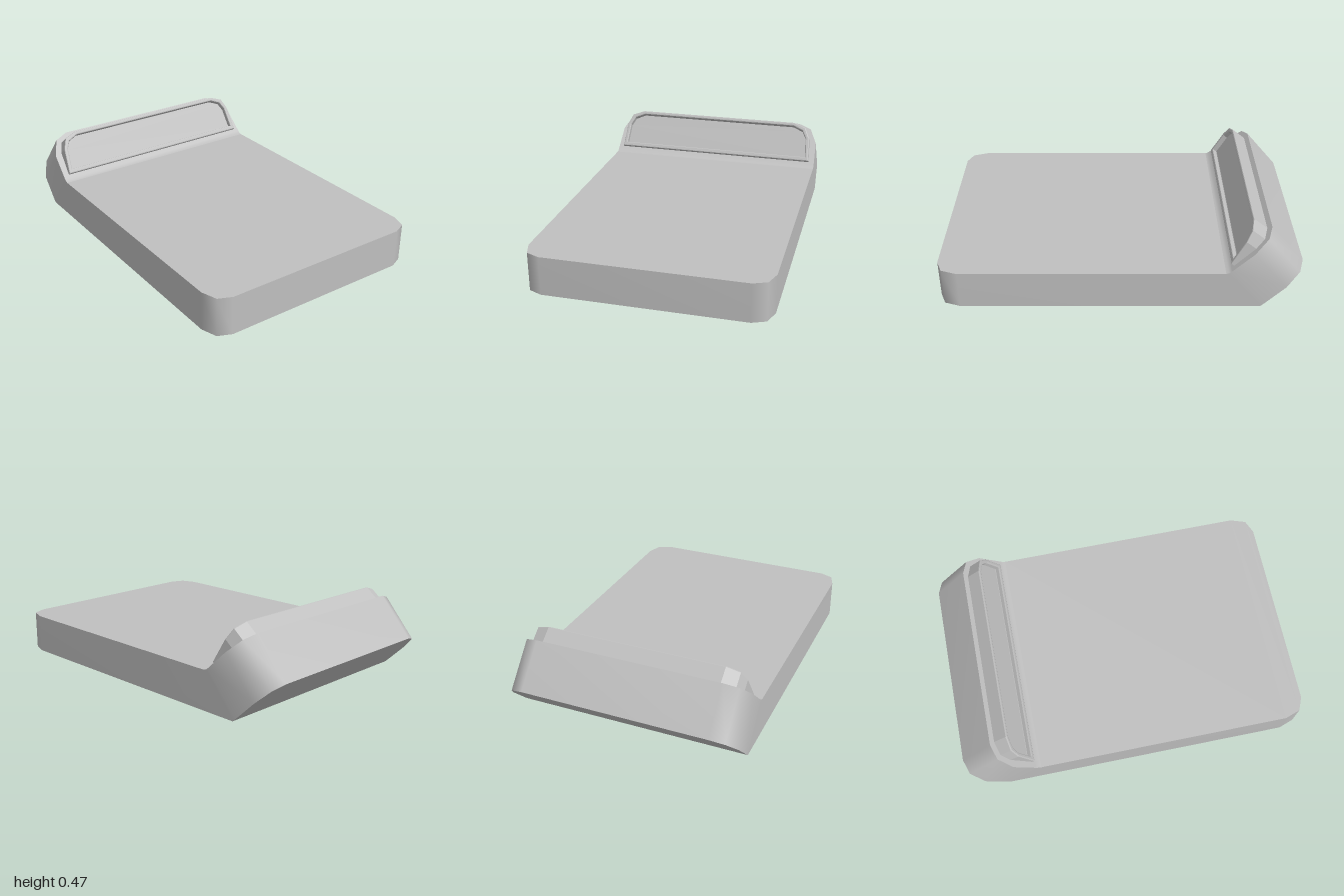
import * as THREE from 'three';

const grey = new THREE.MeshStandardMaterial({ color: 0xbfbfbf });
grey.name = 'plain grey';

// Indexed surface with area-weighted normals: broad faces stay flat, corners shade smoothly
function surface(points, faces) {
  const g = new THREE.BufferGeometry();
  g.setAttribute('position', new THREE.Float32BufferAttribute(points.flat(), 3));
  g.setIndex(faces.flat());
  g.computeVertexNormals();
  return g;
}

function addPart(parent, name, geometry) {
  const mesh = new THREE.Mesh(geometry, grey);
  mesh.name = name;
  parent.add(mesh);
  return mesh;
}

// Rows across the body, front to back: half width, top (z, y), bottom (z, y)
function bodyRows() {
  const rows = [[0.555, 1, 0.22, 1, 0], [0.63, 0.968, 0.22, 0.968, 0], [0.66, 0.88, 0.22, 0.88, 0],
    [0.66, -0.567, 0.22, -0.768, 0], [0.66, -0.583, 0.224, -0.77, 0.001]];
  for (const [x, t] of [[0.66, 0.07], [0.655, 0.57], [0.61, 0.89], [0.53, 1]]) {
    rows.push([x, -0.58 - 0.233 * t, 0.22 + 0.216 * t, -0.77 - 0.23 * t, 0.22 * t]);
  }
  return rows;
}

function createBody() {
  const body = new THREE.Group();
  body.name = 'bentBody';
  const rows = bodyRows();
  const n = rows.length;

  // Top and underside, split at the bend so that both planes stay flat
  const strip = (part, k, up) => {
    const pts = part.flatMap((r) => [[-r[0], r[k + 1], r[k]], [r[0], r[k + 1], r[k]]]);
    const faces = [];
    for (let i = 0; i < part.length - 1; i++) {
      const a = 2 * i, b = a + 1, c = a + 2, d = a + 3;
      faces.push(up ? [a, b, d, a, d, c] : [a, d, b, a, c, d]);
    }
    return surface(pts, faces);
  };
  addPart(body, 'bedTop', strip(rows.slice(0, 4), 1, true));
  addPart(body, 'bendFillet', strip(rows.slice(3, 6), 1, true));
  addPart(body, 'tiltedTop', strip(rows.slice(5), 1, true));
  addPart(body, 'bedUnderside', strip(rows.slice(0, 4), 3, false));
  addPart(body, 'tiltedUnderside', strip(rows.slice(3), 3, false));

  // Wall around the whole outline
  const ring = [...rows.map((r) => [r[0], ...r.slice(1)]),
    ...[...rows].reverse().map((r) => [-r[0], ...r.slice(1)])];
  const pts = ring.flatMap((r) => [[r[0], r[2], r[1]], [r[0], r[4], r[3]]]);
  const faces = [];
  for (let i = 0; i < 2 * n; i++) {
    const a = 2 * i, b = 2 * ((i + 1) % (2 * n));
    faces.push([a, a + 1, b + 1, a, b + 1, b]);
  }
  addPart(body, 'outerWall', surface(pts, faces));
  return body;
}

// Symmetric outline from right-hand points, bottom to top
function outline(points, Type = THREE.Shape) {
  const left = [...points].reverse().map(([x, y]) => [-x, y]);
  return new Type([...points, ...left].map(([x, y]) => new THREE.Vector2(x, y)));
}

function createPanel() {
  const panel = new THREE.Group();
  panel.name = 'uprightPanel';
  const recess = [[0.6, 0.026], [0.59, 0.15], [0.566, 0.196], [0.505, 0.223]];
  const rim = outline([[0.625, 0], [0.613, 0.152], [0.585, 0.216], [0.51, 0.2445]]);
  rim.holes.push(outline(recess, THREE.Path));

  // Panel axes: across, up the leaning face, and out of the body
  const place = new THREE.Matrix4().makeBasis(
    new THREE.Vector3(1, 0, 0),
    new THREE.Vector3(0, 0.213, -0.12).normalize(),
    new THREE.Vector3(0, 0.08, 0.1).normalize(),
  ).setPosition(0, 0.262, -0.595);

  const depth = 0.128, bevel = 0.006;
  const rimGeometry = new THREE.ExtrudeGeometry(rim, {
    depth: depth - 2 * bevel, bevelThickness: bevel, bevelSize: bevel, bevelOffset: -bevel, bevelSegments: 2,
  }).translate(0, 0, bevel - depth).applyMatrix4(place);
  addPart(panel, 'panelRim', rimGeometry);

  // Sunken face inside the rim
  const floor = new THREE.ExtrudeGeometry(outline(recess.map(([x, y]) => [x + 0.004, y])), {
    depth: 0.04, bevelEnabled: false,
  }).translate(0, 0, -0.07).applyMatrix4(place);
  addPart(panel, 'recessedFace', floor);
  return panel;
}

export function createModel() {
  const model = new THREE.Group();
  model.name = 'trayWithRaisedBack';
  model.add(createBody(), createPanel());
  return model;
}
